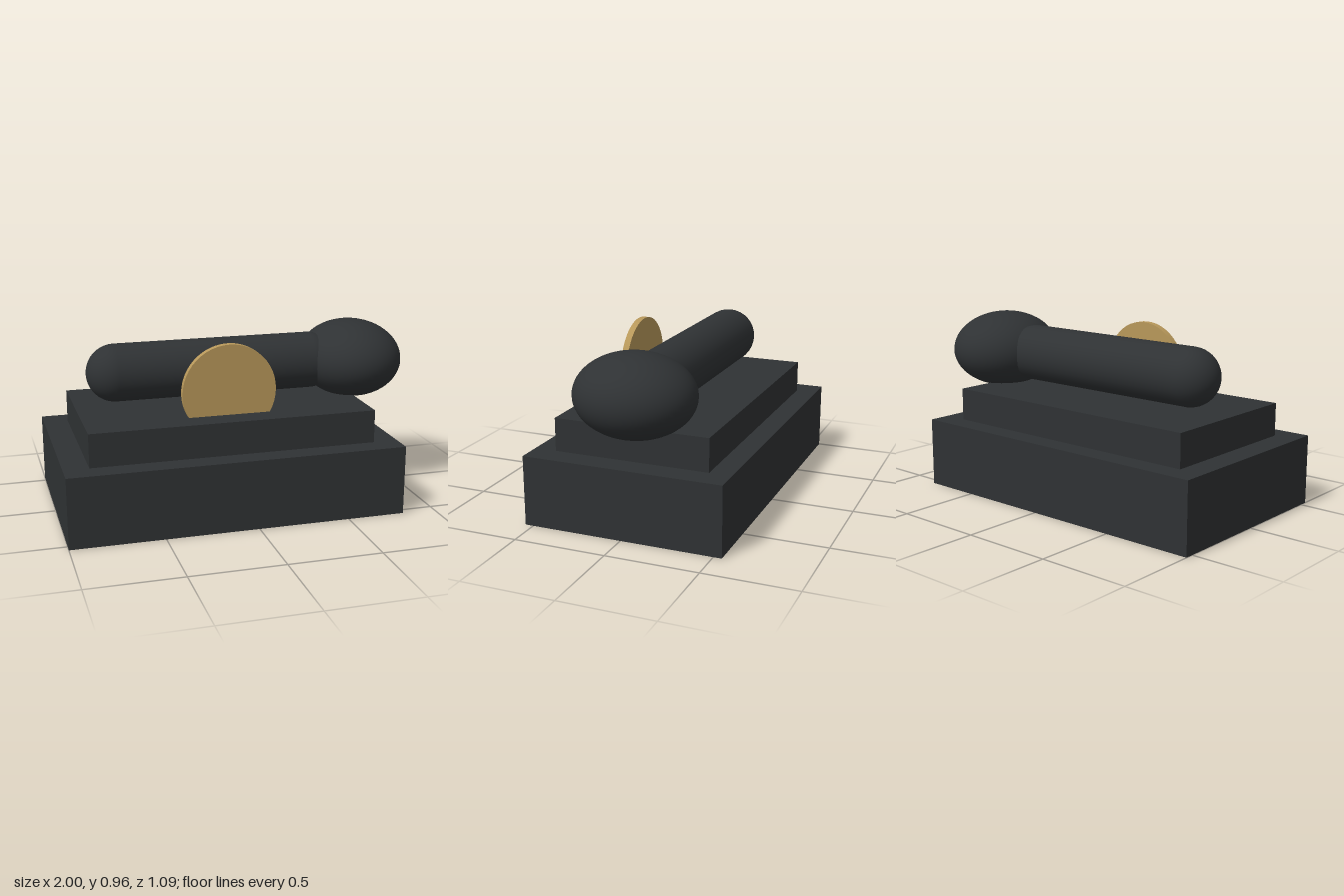
import * as THREE from 'three';

const dark = new THREE.MeshStandardMaterial({ color: 0x2f3234 });
const gold = new THREE.MeshStandardMaterial({ color: 0xb8985a });

export function createModel() {
  const group = new THREE.Group();
  const add = (name, geometry, material, x, y, z) => {
    const mesh = new THREE.Mesh(geometry, material);
    mesh.name = name;
    mesh.position.set(x, y, z);
    group.add(mesh);
    return mesh;
  };
  const cx = -0.0925; // shared centre of base, bar and disc

  // stepped base
  add('base', new THREE.BoxGeometry(1.815, 0.38, 1.09), dark, cx, 0.19, 0);
  add('upperStep', new THREE.BoxGeometry(1.545, 0.18, 0.85), dark, cx, 0.47, 0);

  // rounded bar lying along x
  const bar = add('bar', new THREE.CapsuleGeometry(0.157, 1.1, 12, 32), dark, cx, 0.745, -0.046);
  bar.rotation.z = Math.PI / 2;

  // flattened ball at the left end of the bar
  const ball = add('ball', new THREE.SphereGeometry(1, 48, 32), dark, 0.711, 0.745, -0.046);
  ball.scale.set(0.287, 0.217, 0.317);

  // upright disc sunk into the upper step
  const disc = add('disc', new THREE.CylinderGeometry(0.255, 0.255, 0.036, 48), gold, cx, 0.685, 0.273);
  disc.rotation.x = Math.PI / 2;

  return group;
}
